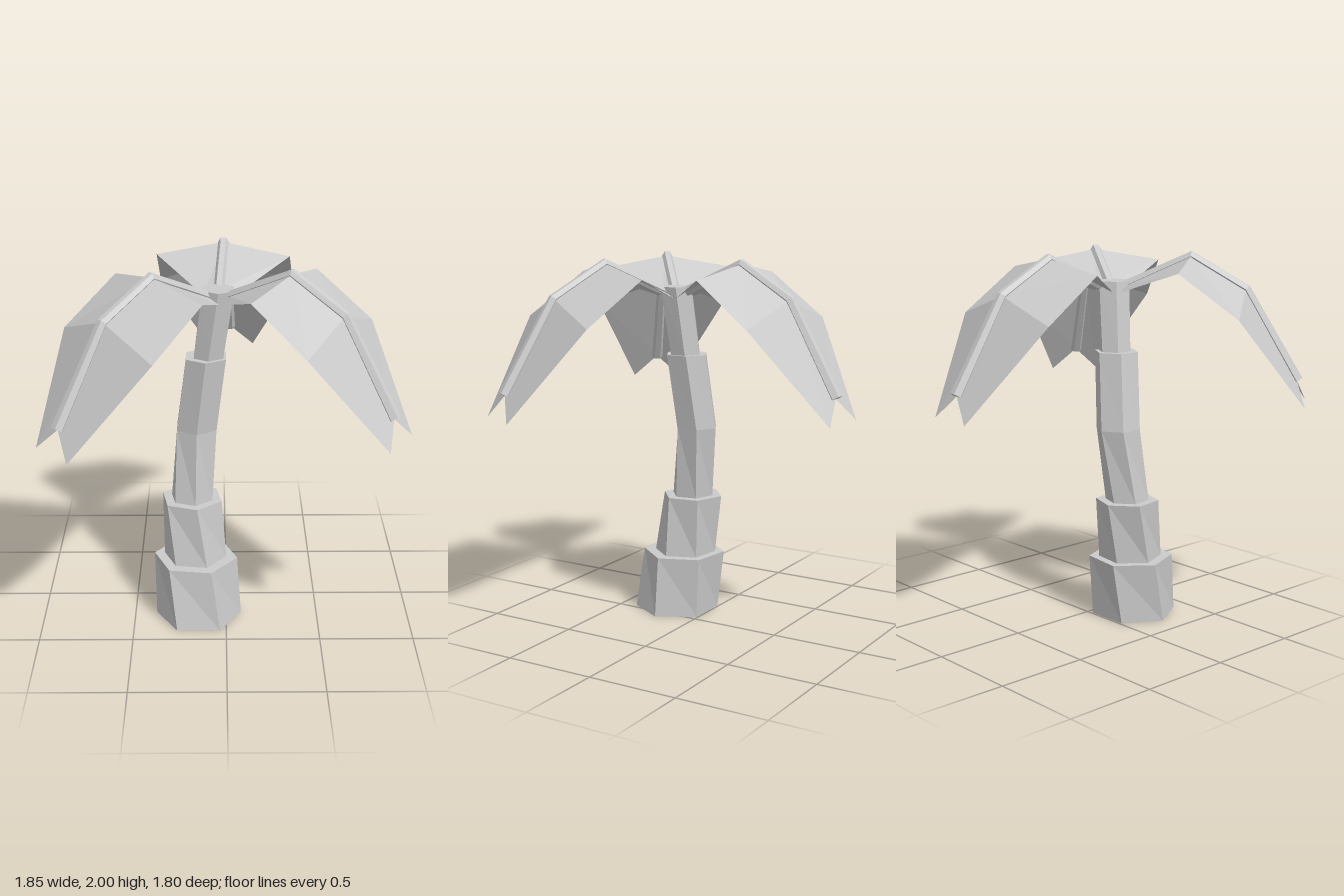
import * as THREE from 'three';

const material = new THREE.MeshStandardMaterial({ color: 0xcccccc, flatShading: true });
const thinMaterial = new THREE.MeshStandardMaterial({ color: 0xcccccc, flatShading: true, side: THREE.DoubleSide });

// Joins cross-sections (arrays of Vector3) with faces; closed rings also get end caps.
function loft(rings, closed) {
  const points = [];
  const n = rings[0].length;
  for (let r = 0; r + 1 < rings.length; r++) {
    const a = rings[r], b = rings[r + 1];
    for (let i = 0; i < (closed ? n : n - 1); i++) {
      const j = (i + 1) % n;
      points.push(a[i], b[i], b[j], a[i], b[j], a[j]);
    }
  }
  if (closed) {
    const first = rings[0], last = rings[rings.length - 1];
    for (let i = 1; i + 1 < n; i++) {
      points.push(first[0], first[i], first[i + 1], last[0], last[i + 1], last[i]);
    }
  }
  const geometry = new THREE.BufferGeometry().setFromPoints(points);
  geometry.computeVertexNormals();
  return geometry;
}

function addMesh(parent, name, geometry, mat = material) {
  const mesh = new THREE.Mesh(geometry, mat);
  mesh.name = name;
  parent.add(mesh);
}

// Hexagon spanned by the axes e1 and e2.
function hexagon(center, radius, e1, e2, twist = 0) {
  return Array.from({ length: 6 }, (_, i) => {
    const a = THREE.MathUtils.degToRad(twist + i * 60);
    return center.clone()
      .addScaledVector(e1, radius * Math.cos(a))
      .addScaledVector(e2, radius * Math.sin(a));
  });
}

const X = new THREE.Vector3(1, 0, 0);
const Z = new THREE.Vector3(0, 0, 1);

// Leaning, twisting trunk: each section is a list of rings [x, y, z, radius, twist].
function createTrunk() {
  const trunk = new THREE.Group();
  trunk.name = 'trunk';
  const sections = [
    [[-0.15, 0, 0.21, 0.232, 0], [-0.165, 0.335, 0.17, 0.228, 8]],
    [[-0.167, 0.335, 0.163, 0.17, 8], [-0.183, 0.665, 0.123, 0.17, 20]],
    [[-0.183, 0.665, 0.123, 0.117, 20], [-0.155, 1.06, 0.08, 0.121, 30], [-0.103, 1.47, 0.113, 0.12, 31]],
    [[-0.09, 1.47, 0.113, 0.088, 31], [-0.04, 1.84, 0.14, 0.094, 30]],
  ];
  sections.forEach((section, i) => {
    const rings = section.map(([x, y, z, r, t]) => hexagon(new THREE.Vector3(x, y, z), r, X, Z, t));
    addMesh(trunk, `trunkSection${i + 1}`, loft(rings, true));
  });
  return trunk;
}

// Drooping leaf growing along +x: a folded blade on a hexagonal midrib.
function createLeaf() {
  const leaf = new THREE.Group();
  leaf.name = 'leaf';

  // Blade stations: ridge x, ridge y, edge x, edge y, half width
  const stations = [
    [0.06, 1.81, 0.06, 1.785, 0.08],
    [0.42, 1.975, 0.383, 1.912, 0.355],
    [0.71, 1.805, 0.693, 1.685, 0.37],
    [0.99, 1.325, 1.036, 1.2, 0.135],
  ];
  const blade = stations.map(([rx, ry, ex, ey, w]) => [
    new THREE.Vector3(ex, ey, -w),
    new THREE.Vector3(rx, ry, 0),
    new THREE.Vector3(ex, ey, w),
  ]);
  addMesh(leaf, 'blade', loft(blade, false), thinMaterial);

  // Midrib rings stand square to the ridge line
  const ridge = blade.map((row) => row[1]);
  const rib = ridge.map((p, i) => {
    const d = ridge[Math.min(i + 1, 3)].clone().sub(ridge[Math.max(i - 1, 0)]).normalize();
    return hexagon(p, i === 3 ? 0.035 : 0.028, Z, new THREE.Vector3(-d.y, d.x, 0));
  });
  addMesh(leaf, 'midrib', loft(rib, true));
  return leaf;
}

export function createModel() {
  const palm = new THREE.Group();
  palm.name = 'palmTree';
  palm.add(createTrunk());

  // Three leaves spread around the trunk top
  for (const angle of [30, 141, 274]) {
    const leaf = createLeaf();
    leaf.position.set(-0.04, 0, 0.14);
    leaf.rotation.y = -THREE.MathUtils.degToRad(angle);
    palm.add(leaf);
  }
  return palm;
}
